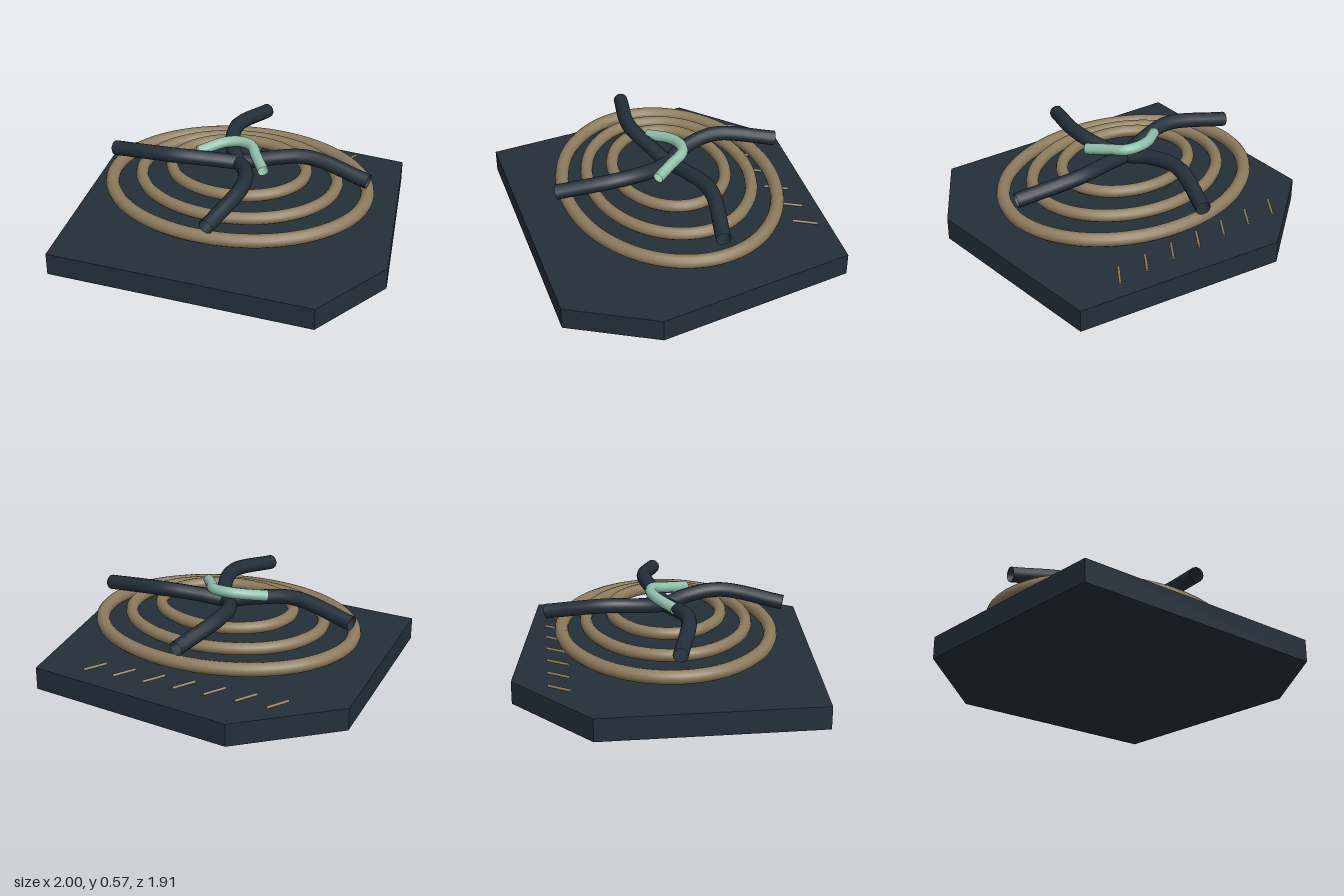
import * as THREE from 'three';

const V = (p) => new THREE.Vector3(...p);

export function createModel() {
  const model = new THREE.Group();
  const mat = (name, color) => {
    const m = new THREE.MeshStandardMaterial({ color, side: THREE.DoubleSide });
    m.name = name;
    return m;
  };
  const slate = mat('dark slate', 0x232f39);
  const tan = mat('tan', 0x8c7b5c);
  const mint = mat('mint', 0x8fbfa9);

  const add = (name, geometry, material, parent = model) => {
    const mesh = new THREE.Mesh(geometry, material);
    mesh.name = name;
    parent.add(mesh);
    return mesh;
  };
  const tube = (points, radius, segments, closed = false, sides = 12) =>
    new THREE.TubeGeometry(new THREE.CatmullRomCurve3(points.map(V), closed), segments, radius, sides, closed);

  // Irregular six-sided slab
  const outline = [[-0.433, -0.957], [0.893, -0.78], [1, 0.46], [0.674, 0.957], [-0.979, 0.845], [-1, -0.503]];
  const shape = new THREE.Shape(outline.map(([x, z]) => new THREE.Vector2(x, -z)));
  const slab = new THREE.ExtrudeGeometry(shape, { depth: 0.142, bevelEnabled: false });
  slab.rotateX(-Math.PI / 2);
  add('baseSlab', slab, slate);

  // Stepped elliptical rings: x radius, z radius, height, tube radius
  const cx = -0.023;
  const rings = new THREE.Group();
  rings.name = 'rings';
  model.add(rings);
  [[0.803, 0.643, 0.295, 0.042], [0.612, 0.491, 0.351, 0.038], [0.418, 0.335, 0.41, 0.037]].forEach(([rx, rz, y, r], i) => {
    const points = [];
    for (let k = 0; k < 32; k++) {
      const a = (k / 32) * Math.PI * 2;
      points.push([cx + rx * Math.cos(a), y, rz * Math.sin(a)]);
    }
    add('ring' + (i + 1), tube(points, r, 96, true), tan, rings);
  });

  // Four curved arms swirling out of the centre
  const arms = new THREE.Group();
  arms.name = 'arms';
  model.add(arms);
  const armPaths = {
    right: [[cx, 0.44, 0], [0.14, 0.468, -0.045], [0.39, 0.487, -0.095], [0.785, 0.427, -0.002]],
    left: [[cx, 0.44, 0], [-0.19, 0.468, 0.05], [-0.43, 0.487, 0.095], [-0.832, 0.427, 0]],
    front: [[cx, 0.44, 0], [0.055, 0.468, 0.14], [0.09, 0.487, 0.36], [-0.02, 0.427, 0.735]],
    back: [[cx, 0.44, 0], [-0.105, 0.468, -0.15], [-0.137, 0.487, -0.37], [-0.027, 0.427, -0.735]],
  };
  for (const [side, path] of Object.entries(armPaths)) {
    add(side + 'Arm', tube(path, 0.046, 24), slate, arms);
  }

  // Bent mint handle over the centre
  const handle = [[-0.275, 0.5, 0.032], [-0.14, 0.528, -0.068], [-0.045, 0.536, -0.092],
    [0.035, 0.533, -0.07], [0.09, 0.515, 0.02], [0.168, 0.49, 0.146]];
  add('handle', tube(handle, 0.034, 24), mint);

  // Row of slanted tick bars along the back
  const ticks = new THREE.Group();
  ticks.name = 'ticks';
  model.add(ticks);
  for (let i = 0; i < 7; i++) {
    const bar = new THREE.CylinderGeometry(0.009, 0.009, 0.155, 8);
    bar.rotateX(Math.PI / 2);
    const tick = add('tick' + (i + 1), bar, tan, ticks);
    tick.position.set(-0.632 + i * 0.1957, 0.173, -0.675);
    tick.rotation.y = -Math.atan2(0.085, 0.128);
  }

  return model;
}
